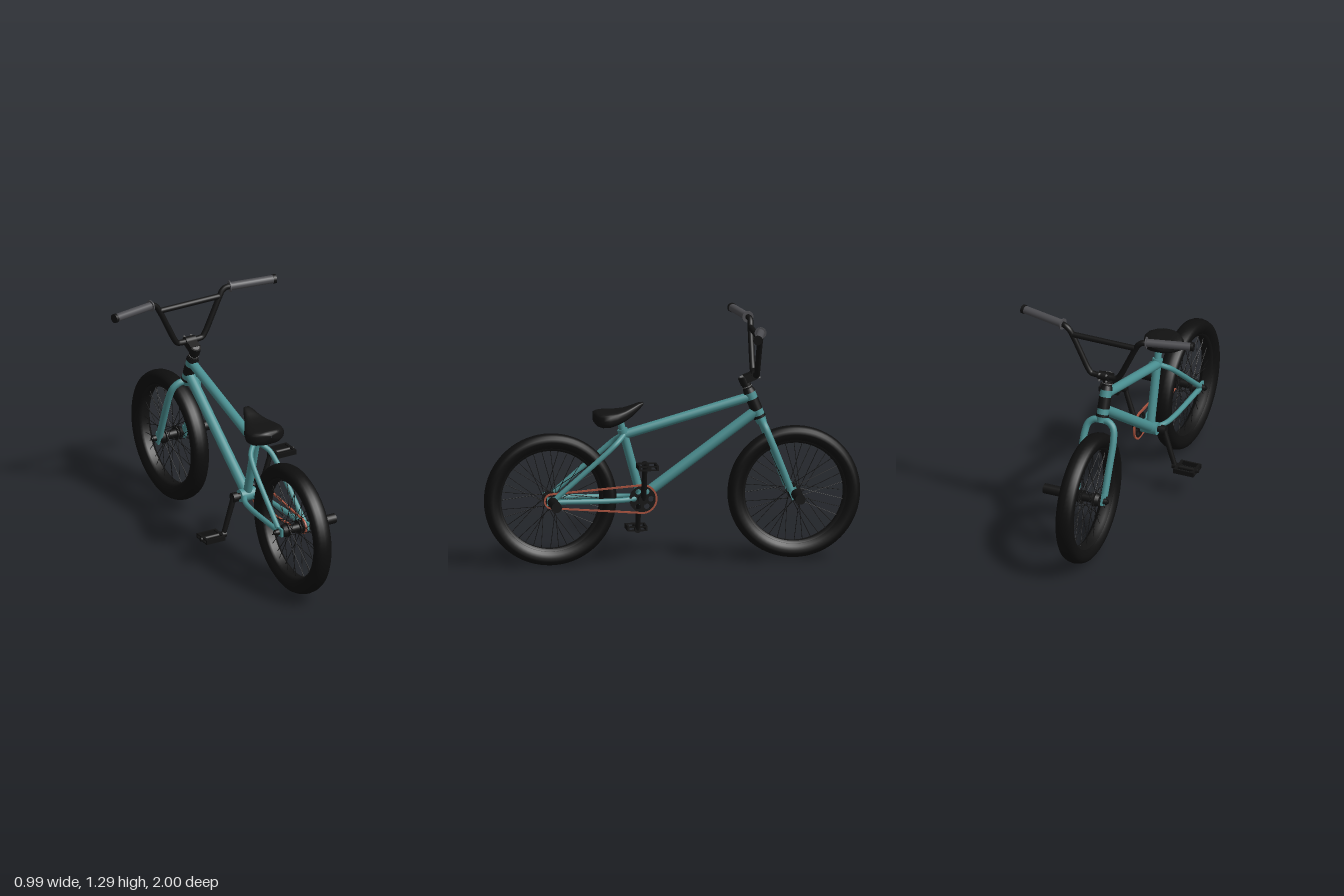
import * as THREE from 'three';
import { mergeGeometries } from 'three/addons/utils/BufferGeometryUtils.js';

const paint = (name, color, side = THREE.FrontSide) => {
  const m = new THREE.MeshStandardMaterial({ color, side });
  m.name = name;
  return m;
};
const V = (x, y, z) => new THREE.Vector3(x, y, z);

export function createModel() {
  const bike = new THREE.Group();
  bike.name = 'bicycle';
  const teal = paint('teal paint', 0x4a8f91);
  const black = paint('black', 0x121212);
  const rubber = paint('tyre rubber', 0x0e0e0e);
  const grey = paint('grip grey', 0x4c4c50);
  const steel = paint('steel', 0x777777);
  const red = paint('chain red', 0xa8523e);

  const add = (name, geo, mat, parent = bike) => {
    const m = new THREE.Mesh(geo, mat);
    m.name = name;
    parent.add(m);
    return m;
  };
  // straight rod between two points
  const rodGeo = (a, b, ra, rb = ra, sides = 20) => {
    const d = b.clone().sub(a);
    const g = new THREE.CylinderGeometry(rb, ra, d.length(), sides);
    g.applyQuaternion(new THREE.Quaternion().setFromUnitVectors(V(0, 1, 0), d.clone().normalize()));
    const c = a.clone().add(b).multiplyScalar(0.5);
    return g.translate(c.x, c.y, c.z);
  };
  const rod = (name, mat, a, b, ra, rb, parent) => add(name, rodGeo(a, b, ra, rb), mat, parent);
  const tube = (name, mat, pts, r) =>
    add(name, new THREE.TubeGeometry(new THREE.CatmullRomCurve3(pts, false, 'centripetal'), 60, r, 14), mat);
  const box = (name, mat, w, h, d, x, y, z, parent) =>
    add(name, new THREE.BoxGeometry(w, h, d).translate(x, y, z), mat, parent);
  const mirror = (p) => V(-p.x, p.y, p.z);

  // ---- wheels ----
  const rear = V(0, 0.355, 0.647), front = V(0, 0.366, -0.647);
  const tyreProfile = [[0.275, -0.03], [0.29, -0.042], [0.31, -0.049], [0.328, -0.047], [0.341, -0.038],
    [0.349, -0.022], [0.3525, 0], [0.349, 0.022], [0.341, 0.038], [0.328, 0.047], [0.31, 0.049],
    [0.29, 0.042], [0.275, 0.03]];
  const rimProfile = [[0.262, -0.018], [0.272, -0.031], [0.282, -0.031], [0.282, 0.031], [0.272, 0.031],
    [0.262, 0.018], [0.262, -0.018]];
  const lathe = (pts) =>
    new THREE.LatheGeometry(pts.map(([r, x]) => new THREE.Vector2(r, x)), 72).rotateZ(Math.PI / 2);

  const wheel = (name, c) => {
    const w = new THREE.Group();
    w.name = name;
    w.position.copy(c);
    bike.add(w);
    add('tyre', lathe(tyreProfile), rubber, w);
    add('rim', lathe(rimProfile), black, w);
    const spokes = [];
    for (let i = 0; i < 36; i++) {
      const a = (i / 36) * Math.PI * 2;
      const h = a + (i % 4 < 2 ? 1 : -1) * 1.1;
      const side = i % 2 ? 1 : -1;
      spokes.push(rodGeo(V(side * 0.034, Math.sin(h) * 0.03, Math.cos(h) * 0.03),
        V(side * 0.006, Math.sin(a) * 0.264, Math.cos(a) * 0.264), 0.0017, 0.0017, 5));
    }
    add('spokes', mergeGeometries(spokes), black, w);
    rod('hub', black, V(-0.04, 0, 0), V(0.04, 0, 0), 0.022, 0.022, w);
    for (const s of [-1, 1]) {
      rod('hub flange', black, V(s * 0.031, 0, 0), V(s * 0.038, 0, 0), 0.036, 0.036, w);
      rod('hub guard', black, V(s * 0.046, 0, 0), V(s * 0.066, 0, 0), 0.037, 0.03, w);
    }
    rod('axle', black, V(-0.115, 0, 0), V(0.09, 0, 0), 0.009, 0.009, w);
    rod('axle nut', black, V(-0.108, 0, 0), V(-0.088, 0, 0), 0.015, 0.017, w);
    rod('peg', black, V(0.09, 0, 0), V(0.253, 0, 0), 0.027, 0.027, w);
  };
  wheel('rearWheel', rear);
  wheel('frontWheel', front);

  // ---- frame ----
  const bb = V(0, 0.355, 0.165);
  const headTop = V(0, 0.905, -0.41), headLow = V(0, 0.775, -0.463);
  const onHead = (t) => headTop.clone().lerp(headLow, t);
  rod('topTube', teal, V(0, 0.878, -0.415), V(0, 0.69, 0.258), 0.025);
  rod('downTube', teal, V(0, 0.8, -0.445), V(0, 0.37, 0.145), 0.028);
  rod('seatTube', teal, bb, V(0, 0.715, 0.262), 0.023);
  rod('seatClamp', teal, V(0, 0.7, 0.258), V(0, 0.722, 0.264), 0.028);
  rod('seatPost', teal, V(0, 0.71, 0.261), V(0, 0.775, 0.279), 0.019);
  rod('bottomBracket', teal, V(-0.045, 0.355, 0.165), V(0.045, 0.355, 0.165), 0.034);
  rod('headTube', teal, onHead(0), onHead(1), 0.031);
  rod('headBand', black, onHead(0.3), onHead(0.75), 0.0325);
  rod('lowerHeadsetCup', black, onHead(0.97), onHead(1.07), 0.034);
  rod('upperHeadsetCup', black, onHead(-0.14), onHead(0.03), 0.027, 0.034);

  const chainStay = [V(0.025, 0.355, 0.18), V(0.055, 0.352, 0.24), V(0.068, 0.35, 0.33), V(0.08, 0.353, 0.64)];
  const seatStay = [V(0.015, 0.69, 0.258), V(0.055, 0.655, 0.3), V(0.068, 0.615, 0.345), V(0.08, 0.37, 0.63)];
  const forkLeg = [V(0, 0.752, -0.475), V(0.04, 0.748, -0.477), V(0.07, 0.725, -0.486), V(0.083, 0.675, -0.506),
    V(0.083, 0.52, -0.568), V(0.08, 0.385, -0.62)];
  for (const s of [1, -1]) {
    const pts = (list) => (s > 0 ? list : list.map(mirror));
    tube('chainStay', teal, pts(chainStay), 0.014);
    tube('seatStay', teal, pts(seatStay), 0.014);
    tube('forkLeg', teal, pts(forkLeg), 0.0185);
    box('rearDropout', teal, 0.012, 0.045, 0.07, s * 0.08, 0.357, 0.64);
    add('frontDropout', new THREE.BoxGeometry(0.012, 0.06, 0.045).rotateX(0.4)
      .translate(s * 0.08, 0.368, -0.637), teal);
  }
  rod('forkCrown', teal, onHead(1.06), V(0, 0.738, -0.478), 0.031, 0.026);

  // ---- stem and handlebar ----
  rod('steererSpacer', black, onHead(-0.1), onHead(-0.35), 0.025);
  rod('spacerRing', steel, onHead(-0.2), onHead(-0.23), 0.0265);
  rod('stemClamp', black, onHead(-0.32), onHead(-0.62), 0.029);
  rod('stemCap', steel, onHead(-0.62), onHead(-0.645), 0.02);
  add('stemBody', new THREE.BoxGeometry(0.056, 0.042, 0.06).rotateX(0.38).translate(0, 0.982, -0.412), black);
  rod('barClamp', black, V(-0.03, 1, -0.44), V(0.03, 1, -0.44), 0.024);
  for (const x of [-0.02, 0.02]) for (const y of [0.982, 1.018])
    rod('stemBolt', steel, V(x, y, -0.455), V(x, y, -0.466), 0.005);

  const half = [V(0.055, 1, -0.44), V(0.075, 1.004, -0.44), V(0.092, 1.026, -0.44), V(0.14, 1.125, -0.441),
    V(0.182, 1.213, -0.443), V(0.2, 1.242, -0.445), V(0.22, 1.256, -0.443), V(0.25, 1.26, -0.434), V(0.48, 1.266, -0.388)];
  const bar = [...half.slice().reverse().map(mirror), V(0, 1, -0.44), ...half];
  add('handlebar', new THREE.TubeGeometry(new THREE.CatmullRomCurve3(bar, false, 'centripetal'), 200, 0.0155, 14), black);
  rod('crossbar', black, V(-0.178, 1.214, -0.443), V(0.178, 1.214, -0.443), 0.0155);
  const gripIn = V(0.237, 1.26, -0.437), gripOut = V(0.487, 1.266, -0.387);
  for (const s of [1, -1]) {
    const at = (t) => { const p = gripIn.clone().lerp(gripOut, t); p.x *= s; return p; };
    rod('grip', grey, at(0), at(0.96), 0.0215);
    rod('gripFlange', grey, at(0), at(0.025), 0.031);
    rod('gripEnd', black, at(0.95), at(1.015), 0.0245);
  }

  // ---- saddle: rounded sections from nose to tail ----
  // [z, half width, top, bottom]
  const sections = [[0.152, 0.002, 0.858, 0.852], [0.156, 0.018, 0.863, 0.846], [0.18, 0.03, 0.86, 0.822],
    [0.215, 0.045, 0.846, 0.79], [0.255, 0.068, 0.832, 0.765], [0.3, 0.096, 0.825, 0.748],
    [0.34, 0.109, 0.824, 0.737], [0.375, 0.103, 0.824, 0.736], [0.4, 0.078, 0.822, 0.744],
    [0.416, 0.05, 0.818, 0.762], [0.422, 0.002, 0.8, 0.79]];
  const N = 24, pos = [], idx = [];
  const sq = (v) => Math.sign(v) * Math.abs(v) ** 0.65;
  sections.forEach(([z, w, t, b], i) => {
    for (let j = 0; j < N; j++) {
      const a = (j / N) * Math.PI * 2;
      pos.push(w * sq(Math.cos(a)), (t + b) / 2 + ((t - b) / 2) * sq(Math.sin(a)), z);
      if (i === sections.length - 1) continue;
      const p = i * N + j, q = i * N + ((j + 1) % N);
      idx.push(p, q, p + N, q, q + N, p + N);
    }
  });
  const saddle = new THREE.BufferGeometry();
  saddle.setAttribute('position', new THREE.Float32BufferAttribute(pos, 3));
  saddle.setIndex(idx);
  saddle.computeVertexNormals();
  add('saddle', saddle, black);

  // ---- chain, sprockets ----
  const loop = (shape, R, r) => {
    const d = rear.z - bb.z, b = Math.acos((R - r) / d);
    shape.absarc(0, 0, R, b, Math.PI * 2 - b, false);
    shape.absarc(d, 0, r, -b, b, false);
    shape.closePath();
    return shape;
  };
  // lay a z-y outline flat against the plane at the given x
  const plate = (name, mat, shape, depth, x, c) => {
    const g = new THREE.ExtrudeGeometry(shape, { depth, bevelEnabled: false, curveSegments: 32 });
    add(name, g.translate(0, 0, -depth / 2).rotateY(-Math.PI / 2).translate(x, c.y, c.z), mat);
  };
  const chain = loop(new THREE.Shape(), 0.079, 0.042);
  chain.holes.push(loop(new THREE.Path(), 0.069, 0.033));
  plate('chain', red, chain, 0.009, 0.06, bb);
  const sprocket = (R, count, hole, at) => {
    const s = new THREE.Shape().absarc(0, 0, R, 0, Math.PI * 2);
    for (let i = 0; i < count; i++) {
      const a = (i / count) * Math.PI * 2;
      s.holes.push(new THREE.Path().absarc(Math.cos(a) * at, Math.sin(a) * at, hole, 0, Math.PI * 2));
    }
    return s;
  };
  plate('chainring', black, sprocket(0.07, 6, 0.015, 0.045), 0.007, 0.06, bb);
  plate('rearCog', black, sprocket(0.034, 0), 0.007, 0.06, rear);

  // ---- cranks and pedals ----
  rod('crankSpindle', black, V(-0.09, 0.355, 0.165), V(0.095, 0.355, 0.165), 0.016);
  for (const s of [1, -1]) {
    const y0 = 0.355, y1 = y0 + s * 0.2, z = 0.163;
    rod('crankBoss', black, V(s * 0.062, y0, 0.165), V(s * 0.092, y0, 0.165), 0.026);
    rod('crankArm', black, V(s * 0.08, y0, z), V(s * 0.142, y1, z), 0.016, 0.013);
    rod('pedalBoss', black, V(s * 0.13, y1, z), V(s * 0.154, y1, z), 0.017);
    const pedal = new THREE.Group();
    pedal.name = 'pedal';
    pedal.position.set(s * 0.215, y1, 0.16);
    bike.add(pedal);
    rod('pedalAxle', black, V(-0.065, 0, 0), V(0.065, 0, 0), 0.012, 0.012, pedal);
    for (const e of [-1, 1]) {
      box('pedalRail', black, 0.115, 0.026, 0.01, 0, 0, e * 0.048, pedal);
      for (const k of [-1, 1]) box('pedalSideBar', black, 0.014, 0.007, 0.1, e * 0.05, k * 0.0095, 0, pedal);
      box('pedalCore', black, 0.014, 0.024, 0.026, e * 0.05, 0, 0, pedal);
    }
  }
  return bike;
}
